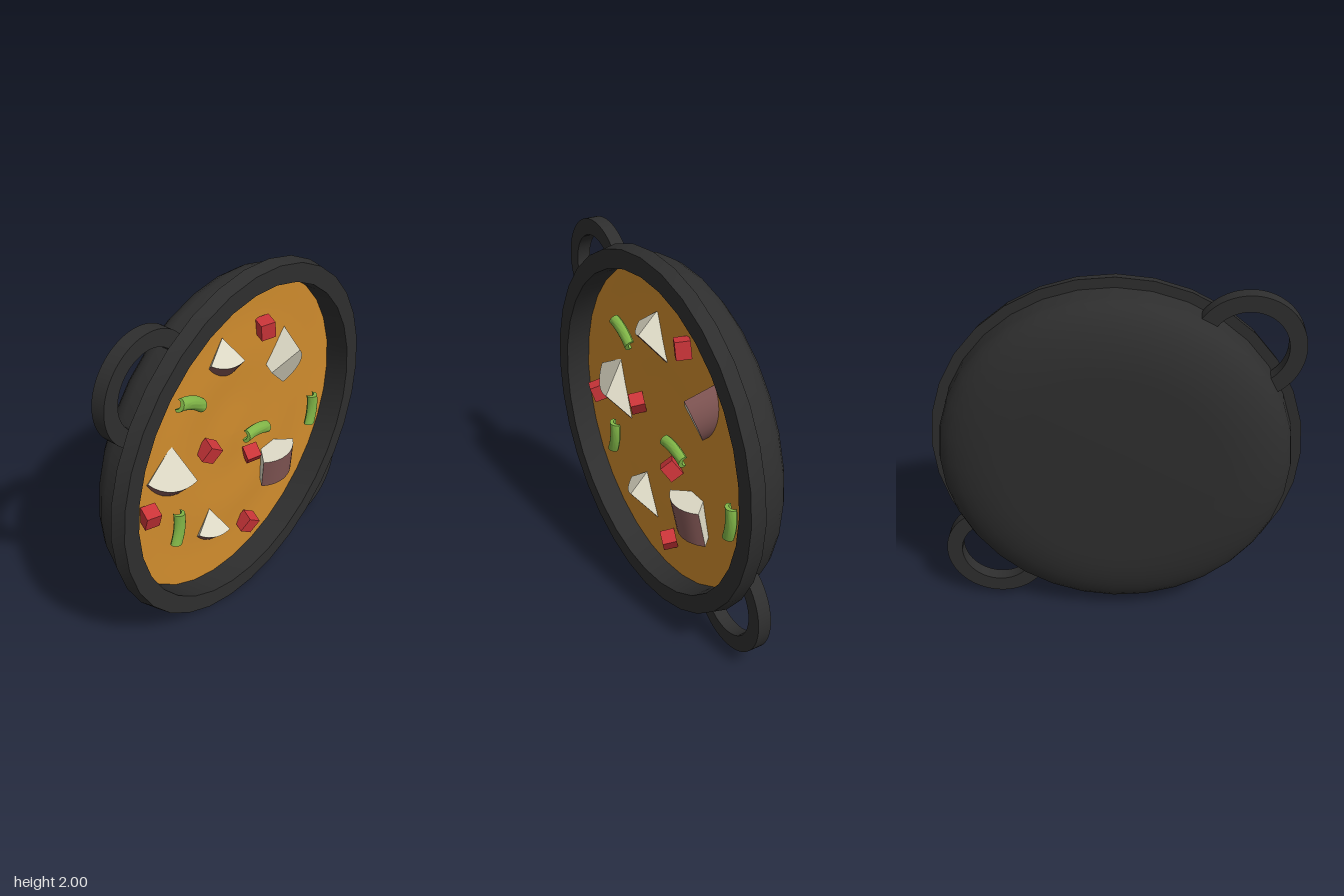
import * as THREE from 'three';
import { toCreasedNormals } from 'three/addons/utils/BufferGeometryUtils.js';

const material = (name, color) => {
  const m = new THREE.MeshStandardMaterial({ color });
  m.name = name;
  return m;
};

export function createModel() {
  const iron = material('cast iron', 0x2e2e2e);
  const broth = material('orange broth', 0xd08c2d);
  const flesh = material('potato flesh', 0xdcd8c4);
  const skin = material('potato skin', 0x845856);
  const green = material('green celery', 0x80b547);
  const red = material('red pepper', 0xcc3539);

  const model = new THREE.Group();
  model.name = 'stewPan';
  const add = (name, geometry, mat, parent = model) => {
    const mesh = new THREE.Mesh(geometry, mat);
    mesh.name = name;
    parent.add(mesh);
    return mesh;
  };
  // Revolve a profile of [radius, z] about the z axis
  const turned = (profile) => {
    const g = new THREE.LatheGeometry(profile.map(([r, z]) => new THREE.Vector2(r, z)), 32);
    return g.rotateX(Math.PI / 2).translate(0, 1, 0);
  };

  // Pan body: flat base, rounded shoulder, stepped rim and inner wall
  const profile = [[0, -0.178]];
  for (let i = 0; i <= 8; i++) {
    const a = (i / 8) * Math.PI / 2;
    profile.push([0.55 + 0.39 * Math.sin(a), -0.178 * Math.cos(a)]);
  }
  profile.push([0.945, 0.095], [1, 0.095], [0.985, 0.168], [0.885, 0.168], [0.885, 0]);
  add('panBody', toCreasedNormals(turned(profile), 0.6), iron);

  // Broth surface with a faint ripple
  const surface = [];
  for (let i = 0; i <= 12; i++) {
    const r = 0.89 * (1 - i / 12);
    surface.push([r, 0.027 + 0.003 * Math.cos(r * 14)]);
  }
  add('broth', turned(surface), broth);

  // Two flat ring handles on opposite corners
  const over = Math.PI / 9;
  for (const [name, angle] of [['upperHandle', Math.PI * 0.75], ['lowerHandle', -Math.PI * 0.25]]) {
    const a0 = angle - Math.PI / 2 - over, a1 = angle + Math.PI / 2 + over;
    const ring = new THREE.Shape();
    ring.absarc(0, 0, 0.29, a0, a1, false);
    ring.absarc(0, 0, 0.203, a1, a0, true);
    const g = new THREE.ExtrudeGeometry(ring, { depth: 0.075, bevelEnabled: false, curveSegments: 24 });
    const handle = add(name, toCreasedNormals(g, 0.6), iron);
    handle.position.set(0.945 * Math.cos(angle), 1 + 0.945 * Math.sin(angle), 0);
  }

  // Potato wedge: sector spanned by u and v, swept along a
  const surfaceOf = (triangles) => {
    const g = new THREE.BufferGeometry().setFromPoints(triangles);
    g.computeVertexNormals();
    return g;
  };
  const addWedge = (apex, u, v, a) => {
    let [U, V] = [u, v].map((p) => new THREE.Vector3(...p));
    const P = new THREE.Vector3(...apex), A = new THREE.Vector3(...a);
    if (U.clone().cross(V).dot(A) < 0) [U, V] = [V, U];
    const Q = P.clone().add(A), n = 8, near = [], far = [];
    const radius = (U.length() + V.length()) / 2;
    const spread = U.angleTo(V);
    for (let i = 0; i <= n; i++) {
      const t = i / n;
      const d = U.clone().multiplyScalar(Math.sin((1 - t) * spread))
        .addScaledVector(V, Math.sin(t * spread)).setLength(radius);
      near.push(P.clone().add(d));
      far.push(Q.clone().add(d));
    }
    const cut = [P, far[0], near[0], P, Q, far[0], P, near[n], far[n], P, far[n], Q];
    const peel = [];
    for (let i = 0; i < n; i++) {
      cut.push(P, near[i + 1], near[i], Q, far[i], far[i + 1]);
      peel.push(near[i], near[i + 1], far[i + 1], near[i], far[i + 1], far[i]);
    }
    // Keep the faces outward
    for (const list of [cut, peel]) {
      for (let i = 0; i < list.length; i += 3) {
        const [p, q, r] = list.slice(i, i + 3);
        const centre = P.clone().add(Q).add(near[n / 2]).add(far[n / 2]).multiplyScalar(0.25);
        const normal = q.clone().sub(p).cross(r.clone().sub(p));
        if (normal.dot(p.clone().sub(centre)) < 0) [list[i + 1], list[i + 2]] = [r, q];
      }
    }
    const wedge = new THREE.Group();
    wedge.name = 'potatoWedge';
    add('cutFaces', surfaceOf(cut), flesh, wedge);
    add('peel', toCreasedNormals(surfaceOf(peel), 0.8), skin, wedge);
    model.add(wedge);
  };
  for (const [x, y] of [[-0.086, 1.642], [-0.203, 0.615]]) {
    addWedge([x, y, 0.03], [-0.118, -0.086, 0.03], [0.027, -0.1, 0.13], [0.096, -0.182, -0.15]);
  }
  addWedge([-0.481, 1.209, 0.025], [-0.198, -0.107, 0.02], [0.045, -0.185, 0.13], [0.086, -0.187, -0.16]);
  addWedge([0.267, 1.273, 0.08], [0.128, 0.112, 0.085], [0.139, -0.139, -0.02], [0.06, 0.09, -0.18]);
  addWedge([0.315, 0.75, -0.03], [-0.138, -0.015, 0.14], [0.138, -0.01, 0.14], [0.025, -0.2, -0.03]);

  // Celery: bent arched strips, x, y and turn about z
  const arch = new THREE.Shape();
  arch.absarc(0, 0, 0.036, 0, Math.PI, false);
  arch.absarc(0, -0.012, 0.026, Math.PI, 0, true);
  for (const [x, y, turn] of [[-0.377, 1.425, 1.07], [0.155, 0.957, 1.36], [-0.5, 0.71, -0.16], [0.682, 0.81, -0.08]]) {
    const g = new THREE.ExtrudeGeometry(arch, { depth: 0.19, steps: 6, bevelEnabled: false, curveSegments: 8 });
    g.translate(0, 0, -0.095).rotateX(Math.PI / 2);
    const p = g.attributes.position;
    for (let i = 0; i < p.count; i++) p.setX(i, p.getX(i) + 0.006 - 1.6 * p.getY(i) ** 2);
    g.computeVertexNormals();
    const strip = add('celeryStrip', toCreasedNormals(g, 0.7), green);
    strip.position.set(x, y, 0.065);
    strip.rotation.z = turn;
  }

  // Diced pepper: x, y and rotation
  for (const [x, y, rx, ry, rz] of [
    [0.22, 1.57, 0.1, -0.45, 0.15],
    [-0.24, 1.05, 0.2, -0.4, -0.5],
    [-0.7, 0.92, 0.35, -0.35, 0.1],
    [0.12, 0.82, 0.7, -0.3, 0.5],
    [0.09, 0.34, 0.2, -0.4, -0.5],
  ]) {
    const cube = add('pepperCube', new THREE.BoxGeometry(0.08, 0.095, 0.08), red);
    cube.position.set(x, y, 0.065);
    cube.rotation.set(rx, ry, rz);
  }
  return model;
}
